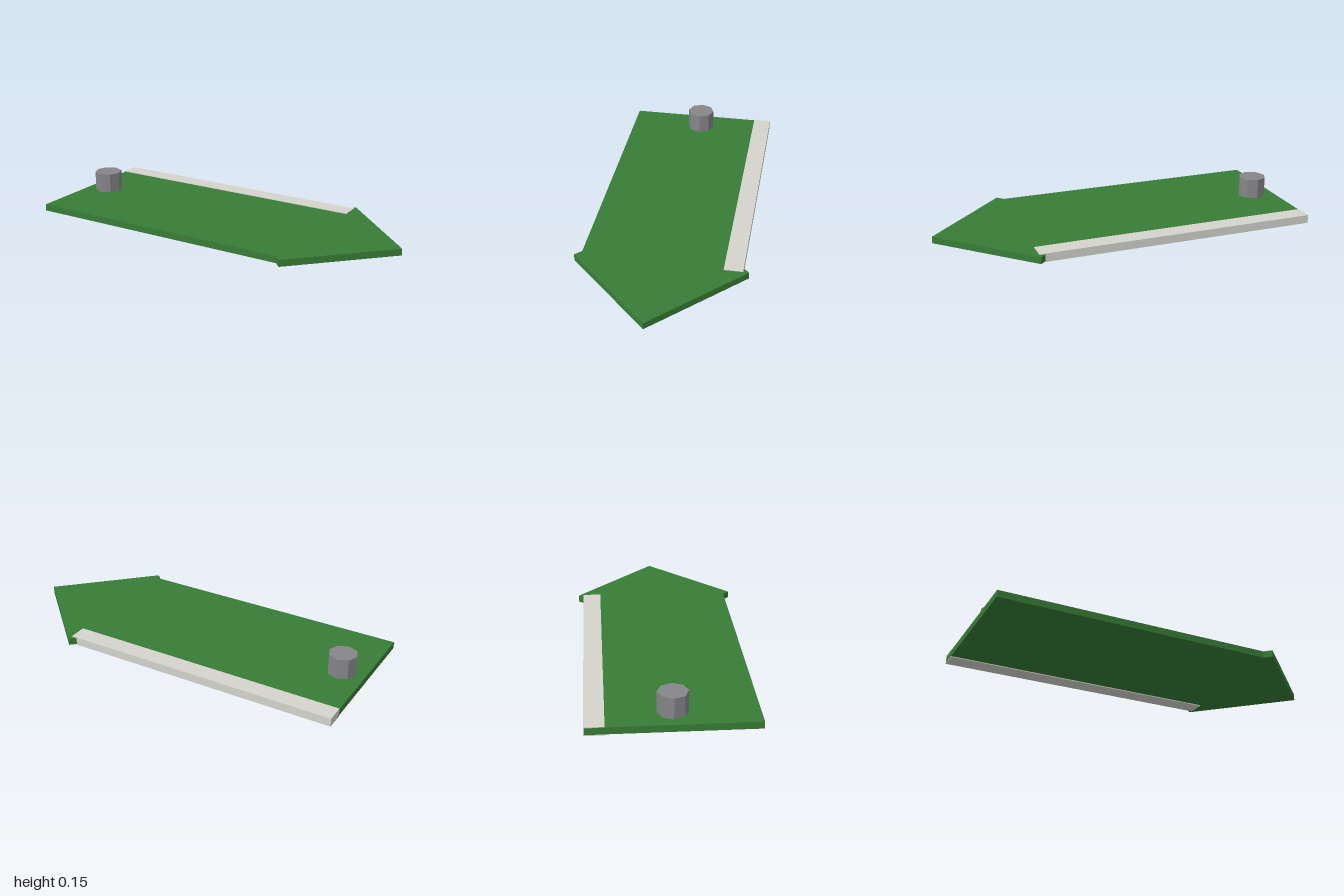
import * as THREE from 'three';

function material(name, color) {
  const m = new THREE.MeshStandardMaterial({ color });
  m.name = name;
  return m;
}

export function createModel() {
  const group = new THREE.Group();
  group.name = 'arrowSign';
  const green = material('green', 0x387d36);
  const paleGrey = material('paleGrey', 0xd4d4cd);
  const midGrey = material('midGrey', 0x86868a);

  function add(name, geometry, mat, x = 0, y = 0, z = 0) {
    const mesh = new THREE.Mesh(geometry, mat);
    mesh.name = name;
    mesh.position.set(x, y, z);
    group.add(mesh);
  }

  // Arrow-shaped board: one half of the outline, mirrored across the long axis
  const half = [[-1, 0.42], [0.505, 0.42], [0.54, 0.455]];
  const outline = [
    ...half.map(([x, y]) => new THREE.Vector2(x, -y)),
    new THREE.Vector2(1, 0),
    ...half.map(([x, y]) => new THREE.Vector2(x, y)).reverse(),
  ];
  const board = new THREE.ExtrudeGeometry(new THREE.Shape(outline), { depth: 0.037, bevelEnabled: false });
  board.rotateX(-Math.PI / 2);
  add('board', board, green, 0, 0.005, 0);

  // Edge strip, slightly thicker than the board
  add('edgeStrip', new THREE.BoxGeometry(1.54, 0.046, 0.1), paleGrey, -0.23, 0.023, -0.375);

  // Octagonal peg
  const peg = new THREE.CylinderGeometry(0.077, 0.077, 0.122, 8).toNonIndexed();
  peg.computeVertexNormals();
  add('peg', peg, midGrey, -0.873, 0.091, 0);

  return group;
}
